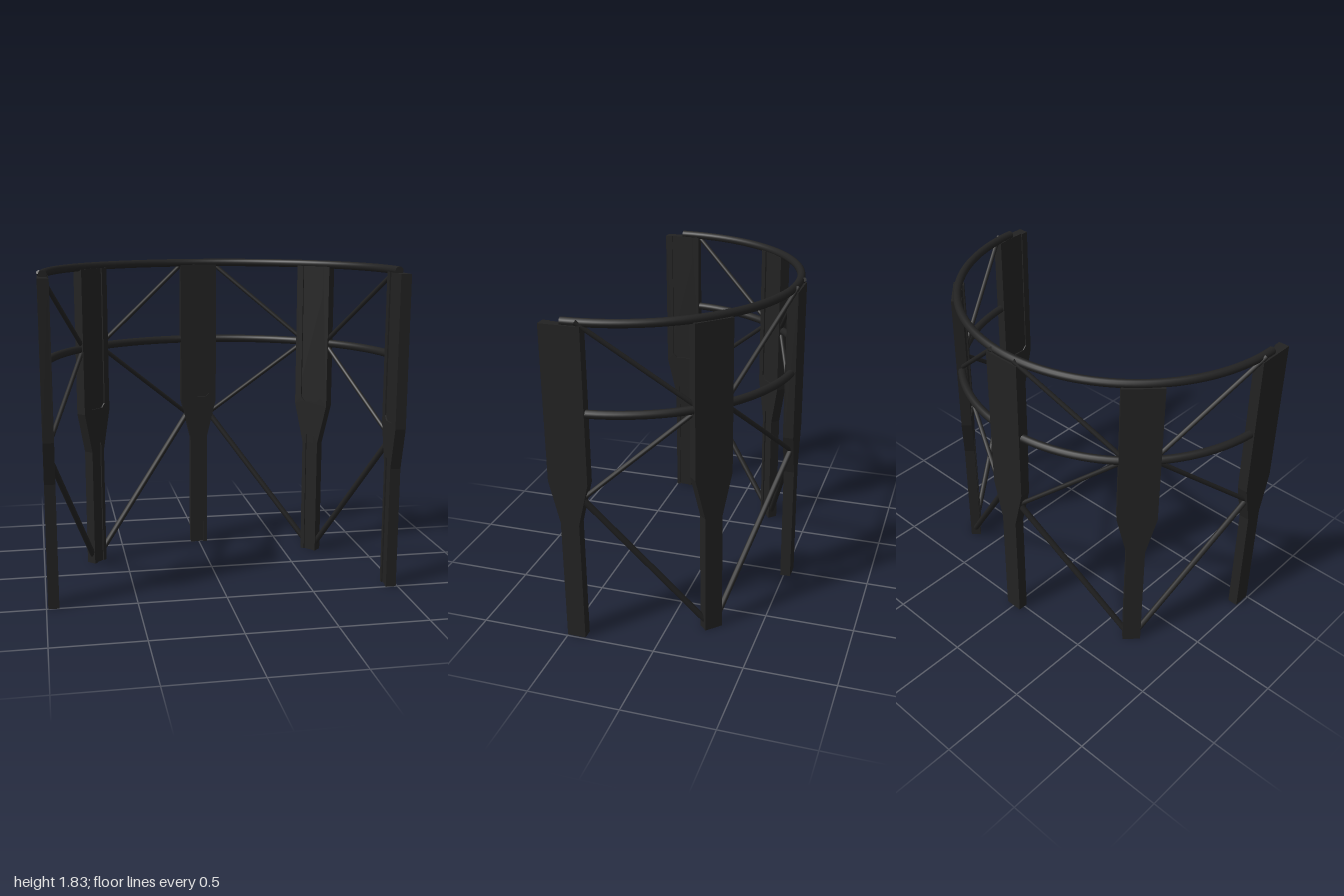
import * as THREE from 'three';

const R = 0.96;      // radius of the leg circle
const CZ = 0.45;     // circle centre in z
const STEP = Math.PI / 4;
const dark = new THREE.MeshStandardMaterial({ color: 0x222222 });

// Point near a leg: a = angle round the circle, t = sideways offset, r = radius
const pt = (a, t, y, r) => new THREE.Vector3(
  r * Math.sin(a) + t * Math.cos(a), y, CZ - r * Math.cos(a) + t * Math.sin(a));

const shapeOf = (pts) => new THREE.Shape(pts.map(([x, y]) => new THREE.Vector2(x, y)));
const mirrored = (half) => [...half, ...half.map(([x, y]) => [-x, y]).reverse()];

function mesh(geometry, name) {
  const m = new THREE.Mesh(geometry, dark);
  m.name = name;
  return m;
}

function slab(shape, z, depth, name) {
  const m = mesh(new THREE.ExtrudeGeometry(shape, { depth, bevelEnabled: false }), name);
  m.position.z = z;
  return m;
}

// Paddle-shaped leg with shallow recesses on its inner face
function makeLeg(a) {
  const leg = new THREE.Group();
  leg.name = 'leg';
  const outline = [[0.052, 0], [0.052, 0.7], [0.11, 0.94], [0.11, 1.79]];
  leg.add(slab(shapeOf(mirrored(outline)), -0.03, 0.052, 'legCore'));

  // Inner facing, notched from the top and from the bottom
  const upperNotch = [[0.068, 1.79], [0.068, 0.985], [0.045, 0.96]];
  const lowerNotch = [[-0.028, 0.75], [-0.028, 0]];
  const right = [...lowerNotch.map(([x, y]) => [-x, y]), ...outline, ...upperNotch];
  leg.add(slab(shapeOf(mirrored(right)), 0.022, 0.008, 'legInnerFacing'));

  leg.position.copy(pt(a, 0, 0, R));
  leg.rotation.y = -a;
  return leg;
}

// Straight round bar between two points
function bar(p, q, radius, name) {
  const d = q.clone().sub(p);
  const m = mesh(new THREE.CylinderGeometry(radius, radius, d.length(), 10), name);
  m.position.copy(p).add(q).multiplyScalar(0.5);
  m.quaternion.setFromUnitVectors(new THREE.Vector3(0, 1, 0), d.normalize());
  return m;
}

// Half-circle hoop with capped ends
function makeHoop(y, radius, tube, name) {
  const g = new THREE.Group();
  g.name = name;
  const arc = mesh(new THREE.TorusGeometry(radius, tube, 12, 72, Math.PI), name + 'Arc');
  arc.rotation.x = -Math.PI / 2;
  g.add(arc);
  for (const s of [-1, 1]) {
    const cap = mesh(new THREE.CircleGeometry(tube, 12), name + 'End');
    cap.position.x = s * radius;
    g.add(cap);
  }
  g.position.set(0, y, CZ);
  return g;
}

export function createModel() {
  const model = new THREE.Group();
  model.name = 'curvedTrussFrame';

  for (let i = -2; i <= 2; i++) model.add(makeLeg(i * STEP));

  model.add(makeHoop(1.802, 0.96, 0.023, 'topHoop'));
  model.add(makeHoop(1.328, 0.967, 0.023, 'middleHoop'));

  // Zigzag braces in each bay, running between a main leg and a 45 degree leg
  for (const side of [-1, 1]) {
    for (const main of [0, 2]) {
      const a = side * main * STEP, b = side * STEP;
      const s = Math.sign(b - a);
      const nodes = [
        pt(a, s * 0.08, 1.81, 0.98),
        pt(b, -s * 0.07, 1.33, 0.965),
        pt(a, s * 0.07, 0.85, 0.97),
        pt(b, -s * 0.035, 0.045, 0.96),
      ];
      const radii = [0.013, 0.013, 0.017];
      radii.forEach((r, k) => model.add(
        bar(nodes[k], nodes[k + 1], r, ['upperBrace', 'middleBrace', 'lowerBrace'][k])));
    }
  }
  return model;
}
